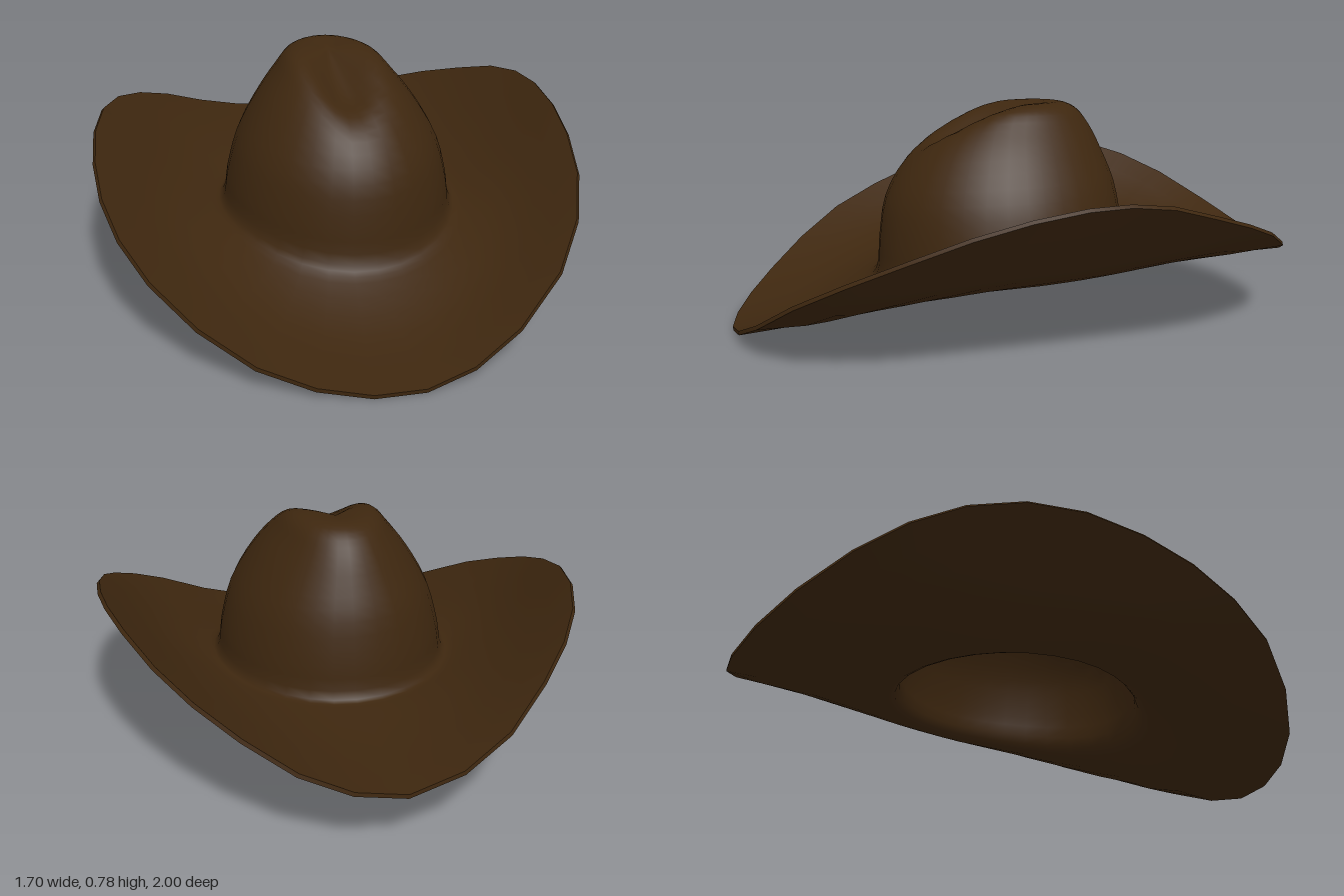
import * as THREE from 'three';

const COLS = 32, STEPS = 3, THICK = 0.014;

// brim edge, from the front round by the left side (+x)
const RIM = [
  [0.02, 0.015, 1], [0.28, 0.085, 0.95], [0.57, 0.255, 0.78], [0.745, 0.4, 0.51],
  [0.82, 0.51, 0.22], [0.84, 0.565, -0.05], [0.81, 0.56, -0.27], [0.7, 0.48, -0.54],
  [0.53, 0.385, -0.78], [0.3, 0.275, -0.95], [0.05, 0.225, -1], [-0.24, 0.29, -0.93],
  [-0.5, 0.42, -0.74], [-0.68, 0.505, -0.52], [-0.79, 0.53, -0.25], [-0.84, 0.47, 0.05],
  [-0.825, 0.37, 0.33], [-0.72, 0.25, 0.6], [-0.5, 0.1, 0.83], [-0.24, 0.025, 0.96],
];

// crown rings, top to base: half width, front z, back z, height at side, front, back
const CROWN = [
  [0.09, 0.08, -0.18, 0.785, 0.76, 0.785],
  [0.155, 0.2, -0.24, 0.765, 0.71, 0.76],
  [0.205, 0.3, -0.29, 0.71, 0.66, 0.7],
  [0.275, 0.38, -0.335, 0.62, 0.58, 0.61],
  [0.355, 0.45, -0.38, 0.48, 0.45, 0.5],
  [0.395, 0.475, -0.41, 0.34, 0.3, 0.35],
  [0.415, 0.49, -0.43, 0.245, 0.175, 0.235],
];

// lengthwise crease pressed into the top of the crown, deepest toward the front
function crease(x, y, z) {
  const fade = THREE.MathUtils.smoothstep(y, 0.45, 0.7);
  return y - 0.065 * fade * Math.exp(-(((x - 0.01) / 0.075) ** 2) - (((z - 0.14) / 0.19) ** 2));
}

// one spline per column, running from the crown top down and out to the brim edge
function column(rim) {
  const a = Math.atan2(rim.x / 0.84, rim.z), s = Math.sin(a), c = Math.cos(a);
  const pts = [new THREE.Vector3(0.02, crease(0.02, 0.787, -0.07), -0.07)];
  for (const [w, zf, zb, ySide, yFront, yBack] of CROWN) {
    const x = 0.02 + w * s, z = (zf + zb) / 2 + ((zf - zb) / 2) * c;
    const y = THREE.MathUtils.lerp(ySide, c > 0 ? yFront : yBack, c * c);
    pts.push(new THREE.Vector3(x, crease(x, y, z), z));
  }
  const base = pts[pts.length - 1];
  const sag = 0.04 + 0.02 * Math.abs(s) + 0.03 * Math.min(0, c);
  for (const t of [0.1, 0.5]) {
    const p = base.clone().lerp(rim, t);
    p.y -= sag * (t < 0.2 ? 0.6 : 1);
    pts.push(p);
  }
  pts.push(rim);
  return new THREE.CatmullRomCurve3(pts).getPoints((pts.length - 1) * STEPS);
}

export function createModel() {
  const group = new THREE.Group();
  group.name = 'hat';
  const felt = new THREE.MeshStandardMaterial({ color: 0x3e270f });
  felt.name = 'dark brown felt';

  const rimCurve = new THREE.CatmullRomCurve3(RIM.map((p) => new THREE.Vector3(...p)), true);
  const columns = [];
  for (let j = 0; j < COLS; j++) columns.push(column(rimCurve.getPoint(j / COLS)));
  const rows = columns[0].length - 1;
  const crownRows = CROWN.length * STEPS;

  // shared vertices: one at the crown top, then ring after ring
  const id = (i, j) => (i === 0 ? 0 : 1 + (i - 1) * COLS + (j % COLS));
  const points = [columns[0][0]];
  for (let i = 1; i <= rows; i++) for (let j = 0; j < COLS; j++) points.push(columns[j][i]);

  function indices(from, to, flip) {
    const out = [];
    const tri = (a, b, c) => (flip ? out.push(a, c, b) : out.push(a, b, c));
    for (let i = from; i < to; i++) {
      for (let j = 0; j < COLS; j++) {
        tri(id(i, j), id(i + 1, j), id(i + 1, j + 1));
        if (i > 0) tri(id(i, j), id(i + 1, j + 1), id(i, j + 1));
      }
    }
    return out;
  }

  function add(name, geometry) {
    const mesh = new THREE.Mesh(geometry, felt);
    mesh.name = name;
    group.add(mesh);
  }

  // outer skin, and an inner skin set in by the felt thickness
  const outer = new THREE.BufferGeometry().setFromPoints(points);
  outer.setIndex(indices(0, rows, false));
  outer.computeVertexNormals();
  const normal = new THREE.Vector3();
  const innerPoints = points.map((p, k) =>
    p.clone().addScaledVector(normal.fromBufferAttribute(outer.attributes.normal, k), -THICK));
  const inner = new THREE.BufferGeometry().setFromPoints(innerPoints);
  inner.setIndex(indices(0, rows, true));
  inner.computeVertexNormals();

  for (const [skin, flip, crownName, brimName] of [
    [outer, false, 'crown', 'brimTop'], [inner, true, 'crownLining', 'brimUnderside'],
  ]) {
    const crown = skin.clone(), brim = skin.clone();
    crown.setIndex(indices(0, crownRows, flip));
    brim.setIndex(indices(crownRows, rows, flip));
    add(crownName, crown);
    add(brimName, brim);
  }

  // narrow band closing the brim edge
  const edge = [], edgeIndex = [];
  for (let j = 0; j < COLS; j++) {
    edge.push(points[id(rows, j)], innerPoints[id(rows, j)]);
    const a = 2 * j, b = 2 * ((j + 1) % COLS);
    edgeIndex.push(a, a + 1, b + 1, a, b + 1, b);
  }
  const band = new THREE.BufferGeometry().setFromPoints(edge);
  band.setIndex(edgeIndex);
  band.computeVertexNormals();
  add('brimEdge', band);

  // rest the lowest point on the ground
  const low = new THREE.Box3().setFromObject(group).min.y;
  group.children.forEach((m) => m.geometry.translate(0, -low, 0));
  return group;
}
